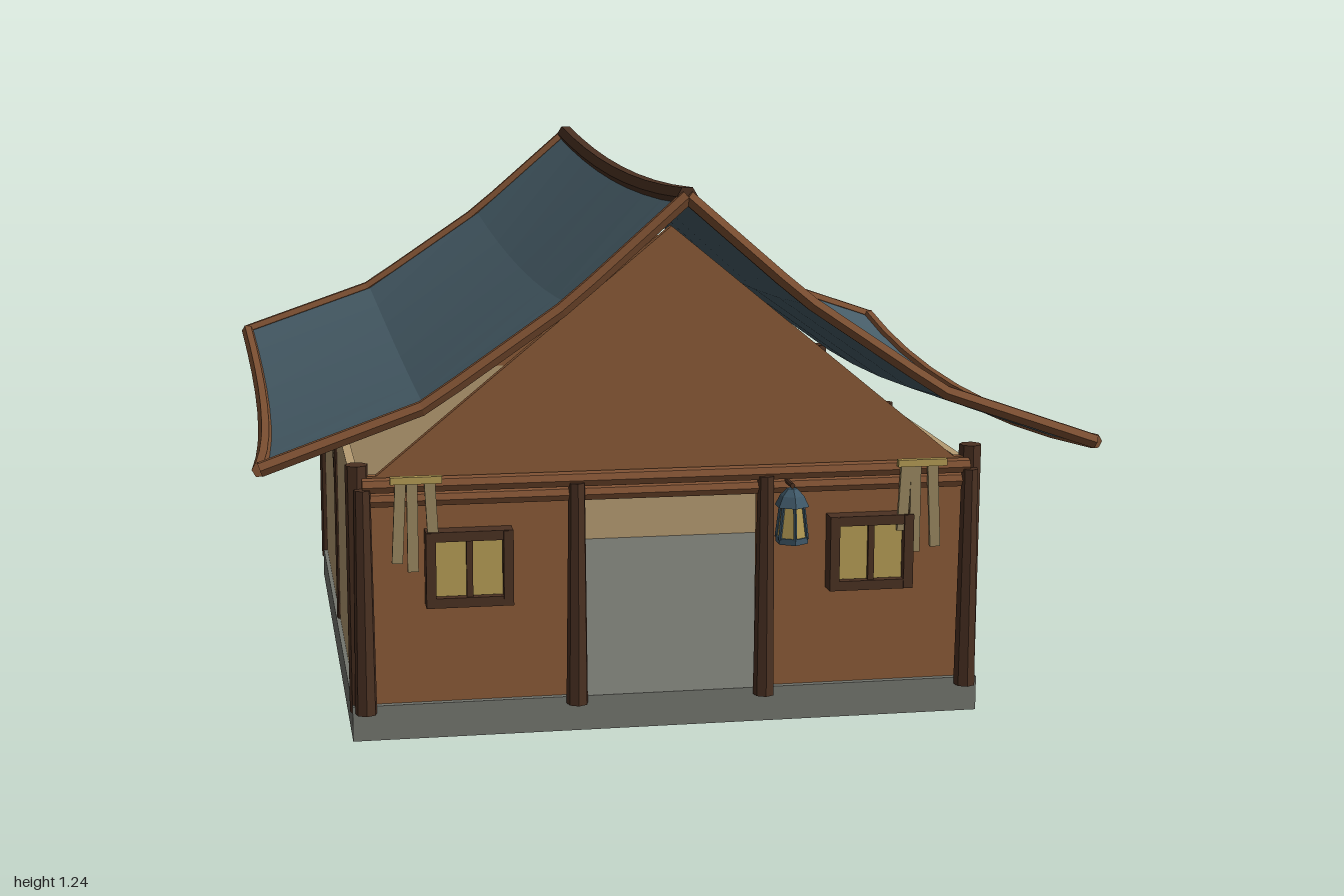
import * as THREE from 'three';

const mat = (name, color) => {
  const m = new THREE.MeshStandardMaterial({ color, flatShading: true, side: THREE.DoubleSide });
  m.name = name;
  return m;
};

export function createModel() {
  const root = new THREE.Group();
  root.name = 'canvasHut';
  const stone = mat('stone', 0x73756e);
  const canvas = mat('canvas', 0xb59b72);
  const plank = mat('plank', 0x8a5a37);
  const roofBlue = mat('roofCloth', 0x475d68);
  const darkWood = mat('darkWood', 0x4b3122);
  const wood = mat('wood', 0x7d5032);
  const glow = mat('windowGlow', 0xb59c55);
  const lanternBlue = mat('lanternMetal', 0x3f5868);
  const herb = mat('driedCloth', 0x9a8860);

  const add = (name, geo, m, x = 0, y = 0, z = 0, parent = root) => {
    const mesh = new THREE.Mesh(geo, m);
    mesh.name = name;
    mesh.position.set(x, y, z);
    parent.add(mesh);
    return mesh;
  };
  const box = (name, m, x0, x1, y0, y1, z0, z1, parent) =>
    add(name, new THREE.BoxGeometry(x1 - x0, y1 - y0, z1 - z0), m,
      (x0 + x1) / 2, (y0 + y1) / 2, (z0 + z1) / 2, parent);
  // Straight pole between two points
  const pole = (name, m, a, b, r0, r1 = r0, sides = 7) => {
    const A = new THREE.Vector3(...a), B = new THREE.Vector3(...b);
    const d = B.clone().sub(A);
    const mesh = add(name, new THREE.CylinderGeometry(r1, r0, d.length(), sides), m);
    mesh.position.copy(A).add(B).multiplyScalar(0.5);
    mesh.quaternion.setFromUnitVectors(new THREE.Vector3(0, 1, 0), d.normalize());
    return mesh;
  };
  // Bent pole through a list of points
  const bentPole = (name, m, pts, r) => {
    const path = new THREE.CurvePath();
    for (let i = 1; i < pts.length; i++) path.add(new THREE.LineCurve3(pts[i - 1], pts[i]));
    add(name, new THREE.TubeGeometry(path, (pts.length - 1) * 4, r, 6), m);
    const ends = [[pts[0], pts[1]], [pts[pts.length - 1], pts[pts.length - 2]]];
    for (const [p, q] of ends) {
      const cap = add(name + 'End', new THREE.CircleGeometry(r, 6), m, p.x, p.y, p.z);
      cap.lookAt(p.clone().multiplyScalar(2).sub(q));
    }
  };

  // Foundation and walls
  box('foundation', stone, -0.72, 0.72, 0, 0.08, -0.70, 0.78);
  for (const s of [-1, 1]) {
    box('sideWall', canvas, s * 0.7 - 0.01, s * 0.7 + 0.01, 0.08, 0.58, -0.68, 0.75);
    box('frontPanel', plank, s * 0.45 - 0.25, s * 0.45 + 0.25, 0.08, 0.6, 0.745, 0.765);
  }
  box('doorHeader', plank, -0.2, 0.2, 0.53, 0.6, 0.745, 0.765);
  box('backWall', canvas, -0.7, 0.7, 0.08, 0.59, -0.69, -0.67);

  // Triangular gables
  const tri = new THREE.Shape([[-0.67, 0.59], [0.67, 0.59], [0, 1.14]].map(p => new THREE.Vector2(...p)));
  for (const z of [0.745, -0.69]) {
    add('gable', new THREE.ExtrudeGeometry(tri, { depth: 0.02, bevelEnabled: false }), plank, 0, 0, z);
  }

  // Posts and slanted braces
  for (const s of [-1, 1]) {
    for (const [z, top] of [[0.752, 0.625], [0.04, 0.59], [-0.68, 0.625]]) {
      const r = top > 0.6 ? 0.025 : 0.018;
      pole('sidePost', darkWood, [s * 0.7, 0.06, z], [s * 0.7, top, z], r, r + 0.001);
      pole('brace', z < 0 ? wood : darkWood, [s * 0.7, 0.215, z - 0.02], [s * 0.7, 0.55, z - 0.3], 0.0125, 0.0125, 6);
    }
    for (const x of [0.215, 0.69]) {
      pole('frontPost', darkWood, [s * x, 0.065, 0.785], [s * x, 0.575, 0.785], 0.025, 0.019);
    }
  }
  pole('upperRail', wood, [-0.69, 0.58, 0.775], [0.69, 0.58, 0.775], 0.018);
  pole('lowerRail', wood, [-0.69, 0.547, 0.772], [0.69, 0.547, 0.772], 0.017);

  // Swept roof: a kinked slope that sags towards the middle
  const profile = [[0, 1.222], [0.255, 1.0], [0.565, 0.79], [0.912, 0.67]];
  const N = 8;
  const roofPoint = (s, u, t) => {
    const [x, y] = profile[u];
    const k = 1 - t * t, f = u / 3;
    return new THREE.Vector3(s * (x - 0.026 * f * k), y - (0.035 + 0.02 * f) * k, 0.033 + t * (0.913 + 0.033 * f));
  };
  const ts = Array.from({ length: N + 1 }, (_, i) => -1 + (2 * i) / N);
  for (const s of [-1, 1]) {
    const pos = [], idx = [], row = N + 1;
    for (const drop of [0, 0.012]) {
      for (let u = 0; u < 4; u++) for (const t of ts) {
        const p = roofPoint(s, u, t);
        pos.push(p.x, p.y - drop, p.z);
      }
    }
    const quad = (a, b, c, d) => idx.push(...(s > 0 ? [a, b, c, a, c, d] : [a, c, b, a, d, c]));
    for (let u = 0; u < 3; u++) for (let i = 0; i < N; i++) {
      const a = u * row + i, o = 4 * row;
      quad(a, a + 1, a + row + 1, a + row);
      quad(a + o, a + o + row, a + o + row + 1, a + o + 1);
    }
    const g = new THREE.BufferGeometry();
    g.setAttribute('position', new THREE.Float32BufferAttribute(pos, 3));
    g.setIndex(idx);
    const flat = g.toNonIndexed();
    flat.computeVertexNormals();
    add('roofSlope', flat, roofBlue);
    bentPole('eavePole', wood, ts.map(t => roofPoint(s, 3, t)), 0.017);
    for (const t of [-1, 1]) bentPole('vergePole', wood, [0, 1, 2, 3].map(u => roofPoint(s, u, t)), 0.017);
  }
  bentPole('ridgePole', darkWood, ts.map(t => roofPoint(1, 0, t)), 0.023);

  // Windows with two glowing panes
  for (const s of [-1, 1]) {
    const w = new THREE.Group();
    w.name = 'window';
    w.position.set(s * 0.457, 0.392, 0);
    root.add(w);
    box('windowBacking', darkWood, -0.09, 0.09, -0.08, 0.08, 0.764, 0.785, w);
    for (const e of [-1, 1]) {
      box('frameSide', darkWood, e * 0.086 - 0.011, e * 0.086 + 0.011, -0.085, 0.085, 0.764, 0.81, w);
      box('frameRail', darkWood, -0.097, 0.097, e * 0.075 - 0.011, e * 0.075 + 0.011, 0.764, 0.808, w);
      box('pane', glow, e * 0.04 - 0.034, e * 0.04 + 0.034, -0.063, 0.063, 0.785, 0.792, w);
    }
    box('mullion', darkWood, -0.007, 0.007, -0.07, 0.07, 0.764, 0.802, w);
  }

  // Hanging strips under small rods
  for (const s of [-1, 1]) {
    box('hangingRod', glow, s * 0.573 - 0.057, s * 0.573 + 0.057, 0.588, 0.604, 0.79, 0.806);
    const strips = s > 0 ? [[0.532, 0.44], [0.558, 0.39], [0.602, 0.4]] : [[-0.612, 0.41], [-0.582, 0.39], [-0.54, 0.46]];
    strips.forEach(([x, y], i) => {
      const strip = box('hangingStrip', herb, x - 0.012, x + 0.012, y, 0.592, 0.793, 0.803);
      strip.rotation.z = (i - 1) * 0.05;
    });
  }

  // Lantern on the right-hand door post
  const lantern = new THREE.Group();
  lantern.name = 'lantern';
  lantern.position.set(0.265, 0, 0.828);
  root.add(lantern);
  const ring = (name, m, r0, r1, h, y) =>
    add(name, new THREE.CylinderGeometry(r1, r0, h, 6), m, 0, y, 0, lantern);
  ring('lanternBase', lanternBlue, 0.038, 0.038, 0.014, 0.437);
  ring('lanternGlass', glow, 0.034, 0.024, 0.075, 0.48);
  ring('lanternCap', lanternBlue, 0.04, 0.028, 0.024, 0.526);
  ring('lanternTop', lanternBlue, 0.028, 0.012, 0.016, 0.546);
  for (let i = 0; i < 6; i++) {
    const a = (i * Math.PI) / 3;
    const bar = pole('lanternBar', lanternBlue, [0.265 + 0.036 * Math.sin(a), 0.44, 0.828 + 0.036 * Math.cos(a)],
      [0.265 + 0.026 * Math.sin(a), 0.52, 0.828 + 0.026 * Math.cos(a)], 0.004, 0.004, 4);
    root.remove(bar);
    bar.position.sub(lantern.position);
    lantern.add(bar);
  }
  pole('lanternArm', darkWood, [0.265, 0.56, 0.775], [0.265, 0.56, 0.832], 0.006);

  return root;
}
